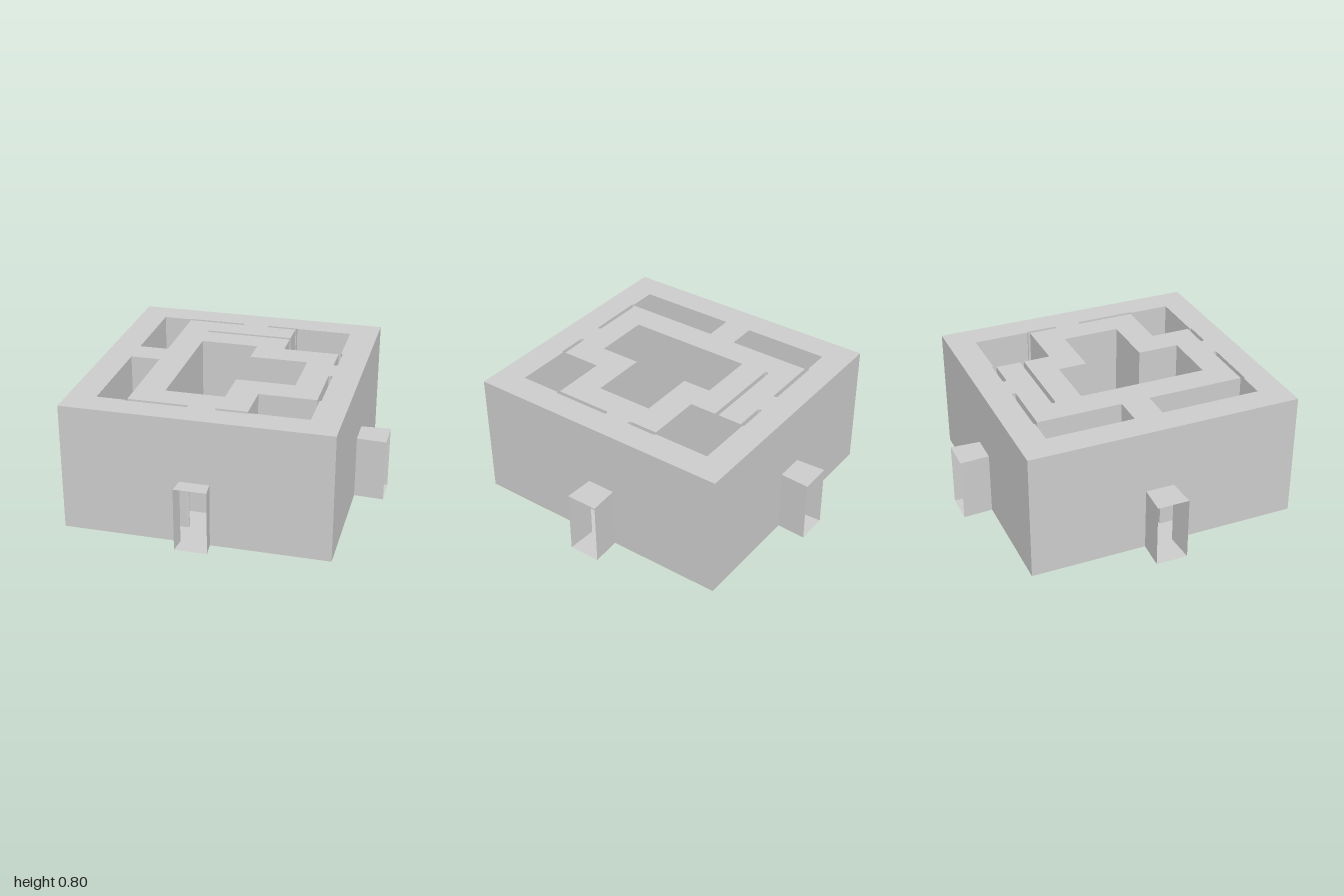
import * as THREE from 'three';

const HEIGHT = 0.8, TAB_HEIGHT = 0.4;
const X_MIN = -0.815, X_MAX = 0.815, BACK = -0.815, FRONT = 0.9;
const TAB_TIP = 0.1, TAB_NECK = 0.09; // half widths of a flared tab

// Open shell, so both sides of its faces show
const material = new THREE.MeshStandardMaterial({ color: 0xcccccc, flatShading: true, side: THREE.DoubleSide });

function part(name, geometry) {
  const mesh = new THREE.Mesh(geometry, material);
  mesh.name = name;
  return mesh;
}

// Rounded end of a narrow slot, pointing along the given angle in the x-z plane
function slotEnd(x, z, degrees, r = 0.0125) {
  const points = [];
  for (let i = 0; i <= 6; i++) {
    const a = THREE.MathUtils.degToRad(degrees - 90 + i * 30);
    points.push([x + r * Math.cos(a), z + r * Math.sin(a)]);
  }
  return points;
}

// Openings through the block, as loops of [x, z] points
const openings = [
  // back left channel with its slot
  [[-0.64, -0.64], [-0.47, -0.64], [-0.46, -0.6485], ...slotEnd(-0.097, -0.636, 0),
    [-0.455, -0.6235], [-0.455, -0.09], [-0.64, -0.09]],
  // front left channel with its slot
  [[-0.64, 0.09], [-0.455, 0.09], [-0.455, 0.7085], ...slotEnd(-0.097, 0.721, 0),
    [-0.46, 0.7335], [-0.47, 0.724], [-0.64, 0.724]],
  // back right pocket with three slots
  [...slotEnd(0.09, -0.636, 180), [0.27, -0.6485], [0.28, -0.64], [0.637, -0.64],
    [0.637, -0.285], [0.648, -0.275], ...slotEnd(0.6355, -0.094, 90), [0.623, -0.271],
    [0.27, -0.271], [0.27, -0.442], ...slotEnd(-0.273, -0.4545, 180), [0.27, -0.467], [0.27, -0.6235]],
  // front right pocket with two slots
  [...slotEnd(0.6355, 0.094, 270), [0.648, 0.455], [0.637, 0.465], [0.637, 0.724], [0.28, 0.724],
    [0.27, 0.7335], ...slotEnd(0.09, 0.721, 180), [0.27, 0.7085], [0.27, 0.453], [0.623, 0.453]],
  // central window
  [[-0.275, -0.276], [0.09, -0.276], [0.09, -0.092], [0.455, -0.092], [0.455, 0.275],
    [0.09, 0.275], [0.09, 0.54], [-0.275, 0.54]],
];

// Pierced plate lying flat; the bottom one is turned to face down
function createPlate(name, y, facesDown) {
  const toPlan = (points) => points.map(([x, z]) => new THREE.Vector2(x, -z));
  const plan = new THREE.Shape(toPlan([[X_MIN, FRONT], [X_MAX, FRONT], [X_MAX, BACK], [X_MIN, BACK]]));
  for (const points of openings) plan.holes.push(new THREE.Path(toPlan(points)));
  const geometry = new THREE.ShapeGeometry(plan).rotateX(-Math.PI / 2).translate(0, y, 0);
  if (facesDown) geometry.index.array.reverse();
  geometry.computeVertexNormals();
  return part(name, geometry);
}

// Upright walls around one opening, facing into it
function createOpeningWalls(points) {
  const positions = [];
  points.forEach(([ax, az], i) => {
    const [bx, bz] = points[(i + 1) % points.length];
    positions.push(ax, 0, az, bx, 0, bz, bx, HEIGHT, bz);
    positions.push(ax, 0, az, bx, HEIGHT, bz, ax, HEIGHT, az);
  });
  const geometry = new THREE.BufferGeometry();
  geometry.setAttribute('position', new THREE.Float32BufferAttribute(positions, 3));
  geometry.computeVertexNormals();
  return part('openingWalls', geometry);
}

// Outer wall with a doorway where the hollow tab joins it
function createOuterWall(start, end) {
  const outline = [[start, 0], [-TAB_NECK, 0], [-TAB_NECK, TAB_HEIGHT], [TAB_NECK, TAB_HEIGHT],
    [TAB_NECK, 0], [end, 0], [end, HEIGHT], [start, HEIGHT]];
  const shape = new THREE.Shape(outline.map(([x, y]) => new THREE.Vector2(x, y)));
  return part('outerWall', new THREE.ShapeGeometry(shape));
}

// Hollow flared tab, open at both ends, running from z = 0 to z = length
function createTab(length) {
  const box = new THREE.BoxGeometry(2 * TAB_TIP, TAB_HEIGHT, length);
  box.translate(0, TAB_HEIGHT / 2, length / 2);
  box.setIndex(Array.from(box.index.array).slice(0, 24)); // four side walls, no ends
  box.clearGroups();
  const position = box.attributes.position;
  for (let i = 0; i < position.count; i++) {
    if (position.getZ(i) < length / 2) position.setX(i, Math.sign(position.getX(i)) * TAB_NECK);
  }
  const geometry = box.toNonIndexed();
  geometry.computeVertexNormals();
  return part('tab', geometry);
}

export function createModel() {
  const model = new THREE.Group();
  model.name = 'flexureStage';
  model.add(createPlate('topPlate', HEIGHT, false), createPlate('bottomPlate', 0, true));
  for (const points of openings) model.add(createOpeningWalls(points));

  // Each side: name, x, z, turn about y, wall ends along the side
  const sides = [
    ['frontSide', 0, FRONT, 0, X_MIN, X_MAX],
    ['leftSide', X_MAX, 0, Math.PI / 2, -FRONT, -BACK],
    ['backSide', 0, BACK, Math.PI, -X_MAX, -X_MIN],
    ['rightSide', X_MIN, 0, -Math.PI / 2, BACK, FRONT],
  ];
  for (const [name, x, z, turn, start, end] of sides) {
    const side = new THREE.Group();
    side.name = name;
    side.add(createOuterWall(start, end), createTab(1 - Math.abs(x + z)));
    side.position.set(x, 0, z);
    side.rotation.y = turn;
    model.add(side);
  }
  return model;
}
